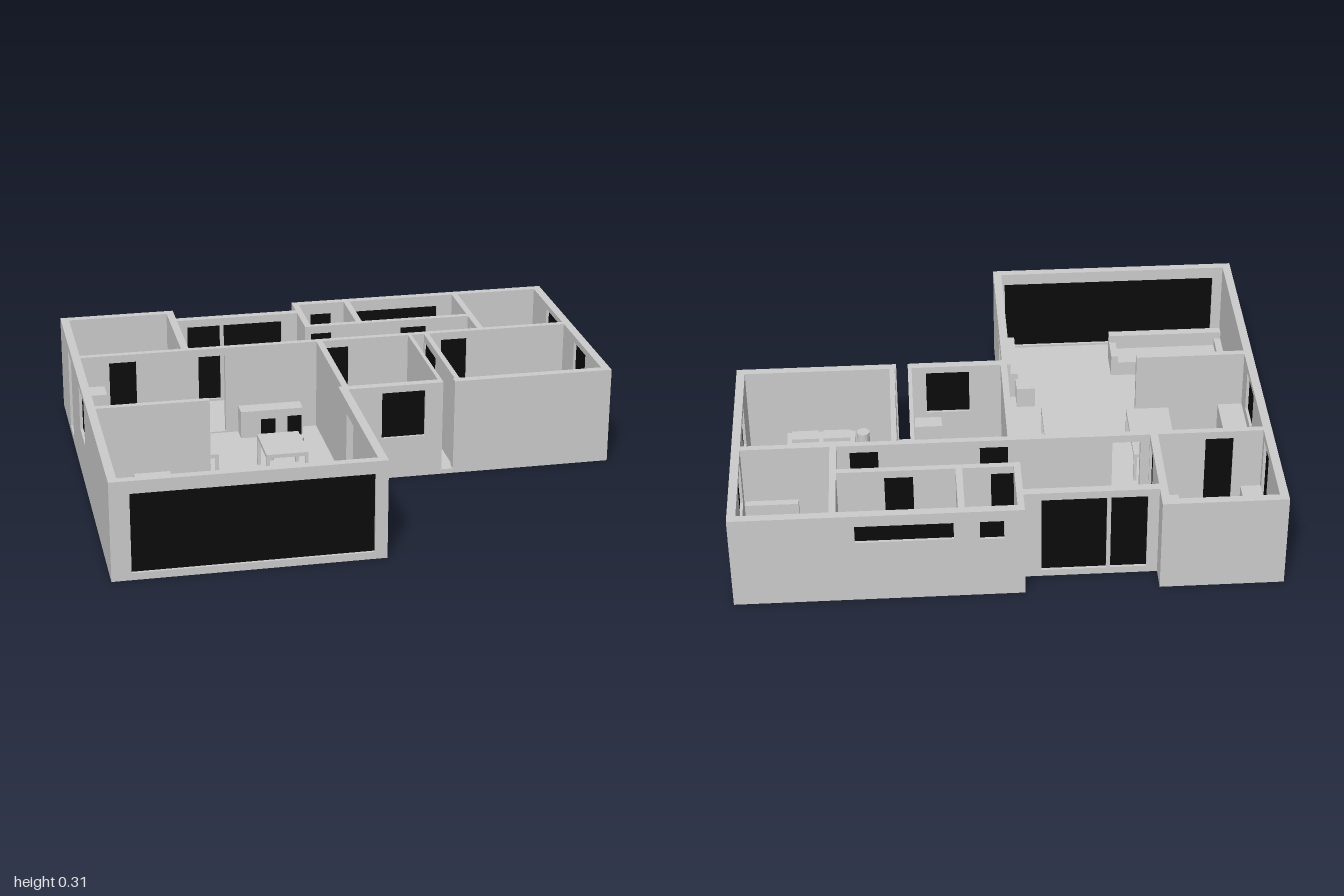
import * as THREE from 'three';

const FLOOR = 0.015, TOP = 0.305;

export function createModel() {
  const model = new THREE.Group();
  model.name = 'house';
  // The plan is laid out square, then turned on the ground
  const plan = new THREE.Group();
  plan.name = 'plan';
  plan.rotation.y = THREE.MathUtils.degToRad(33.1);
  model.add(plan);

  const grey = new THREE.MeshStandardMaterial({ color: 0xcccccc, flatShading: true });
  const black = new THREE.MeshStandardMaterial({ color: 0x0a0a0a });

  function add(name, geometry, material = grey, parent = plan) {
    const mesh = new THREE.Mesh(geometry, material);
    mesh.name = name;
    parent.add(mesh);
    return mesh;
  }
  // Box given by its plan rectangle and its bottom and top
  function box(name, x0, x1, z0, z1, y0, y1, material = grey, parent = plan) {
    const mesh = add(name, new THREE.BoxGeometry(x1 - x0, y1 - y0, z1 - z0), material, parent);
    mesh.position.set((x0 + x1) / 2, (y0 + y1) / 2, (z0 + z1) / 2);
    return mesh;
  }
  function rect(path, x0, x1, y0, y1) {
    path.moveTo(x0, y0);
    path.lineTo(x1, y0);
    path.lineTo(x1, y1);
    path.lineTo(x0, y1);
    path.closePath();
    return path;
  }
  // Wall along x or z, with openings [from, to, bottom, top, open]
  function wall(name, axis, from, to, at, thick, openings = []) {
    const group = new THREE.Group();
    group.name = name;
    const shape = rect(new THREE.Shape(), from, to, FLOOR, TOP);
    for (const [a, b, y0, y1, open] of openings) {
      shape.holes.push(rect(new THREE.Path(), a, b, y0, y1));
      if (!open) box('pane', a, b, -0.004, 0.004, y0, y1, black, group);
    }
    const geometry = new THREE.ExtrudeGeometry(shape, { depth: thick, bevelEnabled: false });
    geometry.translate(0, 0, -thick / 2);
    add('wallPanel', geometry, grey, group);
    if (axis === 'x') group.position.z = at;
    else {
      group.rotation.y = -Math.PI / 2;
      group.position.x = at;
    }
    plan.add(group);
  }
  const door = (centre, width = 0.085) => [centre - width / 2, centre + width / 2, 0.02, 0.28];

  // Floor slab
  const outline = [[-0.688, -0.581], [-0.318, -0.581], [-0.318, -0.506], [0.08, -0.506], [0.08, -0.581],
    [0.935, -0.581], [0.935, 0.202], [0.105, 0.202], [0.105, 0.74], [-0.688, 0.74]];
  const slab = new THREE.ExtrudeGeometry(
    new THREE.Shape(outline.map(([x, z]) => new THREE.Vector2(x, -z))), { depth: FLOOR, bevelEnabled: false });
  add('floor', slab.rotateX(-Math.PI / 2));

  // Outer walls
  const T = 0.026, H = T / 2;
  wall('frontWall', 'x', -0.688, 0.105, 0.74 - H, T, [[-0.63, 0.068, 0.022, 0.266]]);
  wall('leftEndWall', 'z', -0.581, 0.74, -0.688 + H, T,
    [[-0.346, -0.254, 0.022, 0.28], [-0.025, 0.112, 0.147, 0.286]]);
  wall('livingSideWall', 'z', 0.18, 0.74, 0.105 - H, T, [[0.295, 0.39, 0.022, 0.266, true]]);
  wall('wingFrontWall', 'x', 0.08, 0.395, 0.202 - H, T, [[0.21, 0.345, 0.134, 0.283]]);
  wall('wingFrontWallEnd', 'x', 0.437, 0.935, 0.202 - H, T);
  wall('rightEndWall', 'z', -0.581, 0.202, 0.935 - H, T,
    [[-0.405, -0.274, 0.142, 0.287], [-0.1, 0.02, 0.15, 0.285]]);
  wall('wingBackWall', 'x', 0.08, 0.935, -0.581 + H, T, [[0.14, 0.21, 0.205, 0.268], [0.286, 0.572, 0.21, 0.268]]);
  wall('hallBackWall', 'x', -0.33, 0.09, -0.506 + H, T, [[-0.285, -0.177, 0.022, 0.28], [-0.165, 0.028, 0.022, 0.28]]);
  wall('cornerBackWall', 'x', -0.688, -0.318, -0.581 + H, T);

  // Inner walls
  const t = 0.02;
  wall('spineWall', 'x', -0.67, 0.92, -0.222, t,
    [door(-0.53), [-0.29, -0.205, 0.02, 0.28, true], door(0.152), door(0.542)]);
  wall('hallSideWall', 'z', -0.581, -0.222, -0.33, 0.024, [door(-0.28)]);
  wall('corridorWall', 'x', 0.08, 0.63, -0.356, t, [door(0.125), door(0.44)]);
  wall('bathEndWall', 'z', -0.581, -0.346, 0.09, t);
  wall('bathDivider', 'z', -0.57, -0.356, 0.262, t);
  wall('cornerRoomWall', 'z', -0.57, -0.222, 0.633, t, [door(-0.275)]);
  wall('studySideWall', 'z', -0.222, 0.19, 0.1, t);
  wall('closetBackWall', 'z', -0.222, 0.2, 0.395, 0.012);
  wall('closetFrontWall', 'z', -0.222, 0.2, 0.45, 0.016, [[-0.2, -0.06, 0.02, 0.28]]);
  wall('kitchenPartition', 'x', -0.67, -0.32, 0.197, t);

  // Plain furniture standing on the floor: name, x0, x1, z0, z1, height
  const blocks = [
    ['kitchenCounter', -0.662, -0.585, -0.07, 0.187, 0.1],
    ['refrigerator', -0.662, -0.59, -0.212, -0.14, 0.19],
    ['stove', -0.662, -0.59, -0.135, -0.075, 0.11],
    ['kitchenStool', -0.445, -0.385, -0.2, -0.15, 0.08],
    ['sideboard', -0.165, 0.035, -0.21, -0.155, 0.09],
    ['mediaCabinet', -0.555, -0.445, 0.208, 0.26, 0.07],
    ['sideTable', -0.01, 0.05, 0.36, 0.42, 0.07],
    ['lowCabinet', 0.042, 0.079, 0.42, 0.64, 0.09],
    ['bathCabinet', -0.662, -0.6, -0.555, -0.24, 0.09],
    ['bathSink', -0.43, -0.365, -0.435, -0.36, 0.1],
    ['bathToilet', -0.41, -0.342, -0.33, -0.245, 0.07],
    ['washbasin', 0.14, 0.205, -0.53, -0.465, 0.09],
    ['toilet', 0.205, 0.252, -0.405, -0.367, 0.07],
    ['bathtub', 0.273, 0.33, -0.555, -0.39, 0.07],
    ['vanity', 0.38, 0.435, -0.555, -0.49, 0.09],
    ['studyDesk', 0.235, 0.385, -0.212, -0.14, 0.1],
    ['studyShelf', 0.11, 0.14, -0.04, 0.04, 0.1],
    ['studyChest', 0.3, 0.385, 0.125, 0.176, 0.1],
    ['bedroomDresser', 0.63, 0.735, -0.212, -0.18, 0.1],
    ['cornerDesk', 0.78, 0.909, -0.555, -0.505, 0.09],
    ['cornerShelf', 0.745, 0.905, -0.255, -0.232, 0.1],
  ];
  for (const [name, x0, x1, z0, z1, h] of blocks) box(name, x0, x1, z0, z1, FLOOR, FLOOR + h);

  // Tables on four legs
  function table(name, x0, x1, z0, z1, h) {
    const group = new THREE.Group();
    group.name = name;
    plan.add(group);
    const y = FLOOR + h, w = 0.01;
    box('tableTop', x0, x1, z0, z1, y - 0.012, y, grey, group);
    for (const x of [x0, x1 - w])
      for (const z of [z0, z1 - w]) box('tableLeg', x, x + w, z, z + w, FLOOR, y - 0.012, grey, group);
  }
  table('kitchenTable', -0.425, -0.29, -0.07, 0.18, 0.1);
  table('diningTable', -0.15, -0.02, 0.05, 0.215, 0.1);
  table('coffeeTable', -0.48, -0.37, 0.405, 0.515, 0.05);

  // Dining chairs with dark backs
  for (const [x, z] of [[-0.105, 0.025], [-0.02, 0.015]]) {
    const chair = new THREE.Group();
    chair.name = 'diningChair';
    plan.add(chair);
    chair.position.set(x, 0, z);
    add('chairSeat', new THREE.CylinderGeometry(0.025, 0.025, 0.01, 16), grey, chair).position.y = 0.075;
    add('chairPost', new THREE.CylinderGeometry(0.006, 0.012, 0.055, 8), grey, chair).position.y = FLOOR + 0.0275;
    box('chairBack', -0.022, 0.022, -0.03, -0.022, 0.075, 0.14, black, chair);
  }

  // Sofa and armchair
  box('sofaSeat', -0.65, -0.275, 0.525, 0.61, FLOOR, 0.065);
  box('sofaBack', -0.65, -0.275, 0.61, 0.638, FLOOR, 0.115);
  for (const x of [-0.65, -0.297]) box('sofaArm', x, x + 0.022, 0.525, 0.61, 0.065, 0.09);
  box('chaiseSeat', -0.65, -0.51, 0.41, 0.525, FLOOR, 0.065);

  // Beds with pillows along their head end
  box('doubleBed', 0.575, 0.79, -0.095, 0.176, FLOOR, 0.075);
  for (const x of [0.59, 0.69]) box('pillow', x, x + 0.085, 0.12, 0.165, 0.075, 0.088);
  box('singleBed', 0.645, 0.73, -0.555, -0.375, FLOOR, 0.075);
  box('pillow', 0.655, 0.72, -0.547, -0.51, 0.075, 0.088);

  // Round bedside table
  const bedside = add('bedsideTable', new THREE.CylinderGeometry(0.02, 0.02, 0.07, 20));
  bedside.position.set(0.55, FLOOR + 0.035, 0.153);

  return model;
}
